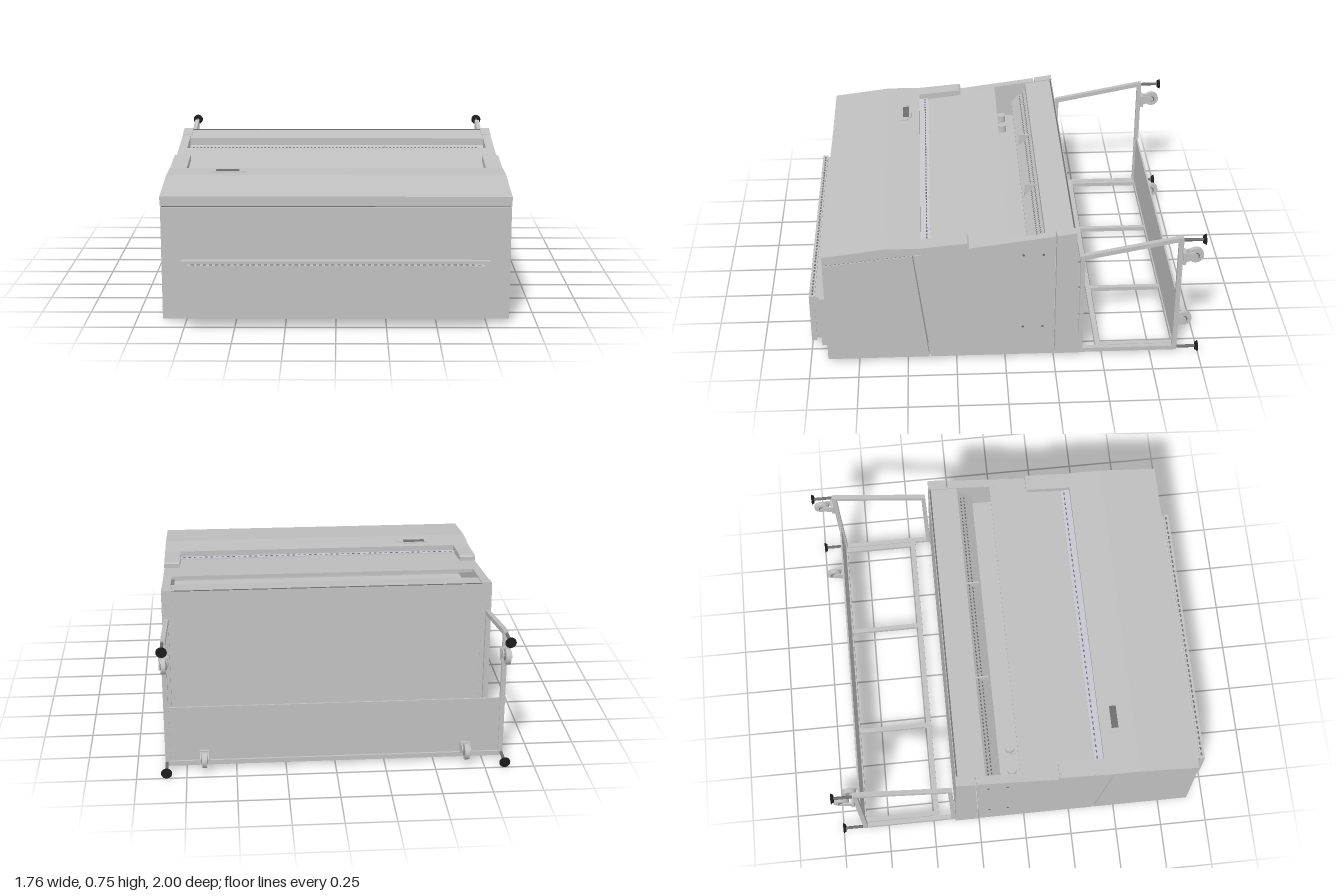
import * as THREE from 'three';

const mat = (name, color, side = THREE.FrontSide) => {
  const m = new THREE.MeshStandardMaterial({ color, side });
  m.name = name;
  return m;
};

export function createModel() {
  const root = new THREE.Group();
  root.name = 'machine';
  const grey = mat('light grey', 0xc0c0c0);
  const strip = mat('pale strip', 0xc8c8d2);
  const dark = mat('dark grey', 0x6e6e6e);
  const black = mat('black', 0x1c1c1c);

  const add = (name, geo, m = grey, parent = root) => {
    const mesh = new THREE.Mesh(geo, m);
    mesh.name = name;
    parent.add(mesh);
    return mesh;
  };
  // box from its limits
  const box = (name, x0, x1, y0, y1, z0, z1, m, parent) => {
    const b = add(name, new THREE.BoxGeometry(x1 - x0, y1 - y0, z1 - z0), m, parent);
    b.position.set((x0 + x1) / 2, (y0 + y1) / 2, (z0 + z1) / 2);
    return b;
  };
  // side profile of [z, y] points extended from x0 to x1
  const toPoints = pts => pts.map(([z, y]) => new THREE.Vector2(-z, y));
  const prism = (name, pts, x0, x1, m, hole, parent) => {
    const s = new THREE.Shape(toPoints(pts));
    if (hole) s.holes.push(new THREE.Path(toPoints(hole)));
    const g = new THREE.ExtrudeGeometry(s, { depth: x1 - x0, bevelEnabled: false });
    g.rotateY(Math.PI / 2).translate(x0, 0, 0);
    return add(name, g, m, parent);
  };
  const mirrored = (name, pts, x0, x1, m, hole) => {
    prism(name, pts, x0, x1, m, hole);
    prism(name, pts, -x1, -x0, m, hole);
  };
  // bar of square section between two points in a side plane
  const bar = (name, x, [z0, y0], [z1, y1], w) => {
    const len = Math.hypot(z1 - z0, y1 - y0);
    const b = add(name, new THREE.BoxGeometry(w, w, len));
    b.position.set(x, (y0 + y1) / 2, (z0 + z1) / 2);
    b.rotation.x = -Math.atan2(y1 - y0, z1 - z0);
  };

  // Front housing and lid
  prism('frontHousing', [[0.91, 0.025], [0.91, 0.596], [0.463, 0.644], [0.39, 0.025]], -0.865, 0.865);
  prism('frontLid', [[0.91, 0.602], [0.91, 0.65], [0.6, 0.69], [0.42, 0.69], [0.42, 0.655], [0.46, 0.65]], -0.867, 0.867);
  prism('lidSeam', [[0.905, 0.59], [0.905, 0.61], [0.46, 0.66], [0.46, 0.64]], -0.86, 0.86, dark);

  // Handle plate on the lid
  const handle = new THREE.Shape([[-0.64, -0.53], [-0.46, -0.53], [-0.46, -0.495], [-0.51, -0.465], [-0.645, -0.465]]
    .map(p => new THREE.Vector2(...p)));
  const handleGeo = new THREE.ExtrudeGeometry(handle, { depth: 0.004, bevelEnabled: false });
  add('lidHandle', handleGeo.rotateX(-Math.PI / 2).translate(0, 0.69, 0), grey);
  box('lidHandleSlot', -0.62, -0.5, 0.694, 0.696, 0.48, 0.515, dark);

  // Front tray
  box('trayBack', -0.765, 0.765, 0.04, 0.33, 0.905, 0.945);
  box('trayMiddle', -0.725, 0.725, 0.06, 0.315, 0.945, 0.972);
  box('trayFront', -0.73, 0.73, 0.05, 0.322, 0.972, 1.0);
  for (let i = 0; i < 48; i++) {
    const x = -0.705 + i * 0.03;
    box('traySlot', x - 0.008, x + 0.008, 0.322, 0.324, 0.98, 0.988, dark);
  }

  // Rear housing sides with a sunken access panel
  const side = [[0.382, 0.025], [0.457, 0.645], [-0.25, 0.74], [-0.25, 0.025]];
  const opening = [[0.39, 0.6], [-0.04, 0.645], [-0.04, 0.2], [0.345, 0.2]];
  mirrored('sideCore', side, 0.82, 0.853);
  mirrored('sideSkin', side, 0.853, 0.865, grey, opening);
  mirrored('rearCorner', [[-0.256, 0.025], [-0.256, 0.742], [-0.355, 0.757], [-0.38, 0.025]], 0.815, 0.867);
  for (const s of [-1, 1]) {
    for (const z of [-0.09, -0.19]) {
      for (const y of [0.2, 0.635]) {
        const bolt = add('sideBolt', new THREE.CylinderGeometry(0.006, 0.006, 0.004, 10), dark);
        bolt.rotation.z = Math.PI / 2;
        bolt.position.set(s * 0.866, y, z);
      }
    }
  }
  box('floorPlate', -0.822, 0.822, 0.022, 0.06, -0.375, 0.4);
  prism('backWall', [[-0.335, 0.03], [-0.335, 0.745], [-0.354, 0.75], [-0.378, 0.03]], -0.82, 0.82);

  // Cross beam above the working bay
  prism('rearBeam', [[-0.2, 0.67], [-0.2, 0.728], [-0.352, 0.75], [-0.352, 0.67]], -0.82, 0.82);
  box('beamSeam', -0.86, 0.86, 0.742, 0.752, -0.35, -0.343, dark);

  // Working bay, perforated rail and dividers
  box('bayFloor', -0.82, 0.82, 0.5, 0.52, -0.34, 0.4);
  prism('perforatedRail', [[-0.2, 0.69], [-0.12, 0.61], [-0.12, 0.6], [-0.2, 0.6]], -0.82, 0.82);
  const holes = new THREE.Group();
  holes.name = 'railHoles';
  root.add(holes);
  for (let i = 0; i < 80; i++) {
    for (let r = 0; r < 2; r++) {
      const hole = add('railHole', new THREE.CircleGeometry(0.006, 6), dark, holes);
      hole.rotation.x = -Math.PI / 4;
      hole.position.set(-0.8 + i * 0.02 + r * 0.01, 0.675 - r * 0.018 + 0.001, -0.185 + r * 0.018 + 0.001);
    }
  }
  for (const x of [-0.27, 0.27]) box('bayDivider', x - 0.004, x + 0.004, 0.58, 0.69, -0.2, -0.13);
  for (const x of [-0.75, -0.63]) {
    const knob = add('bayKnob', new THREE.CylinderGeometry(0.025, 0.025, 0.04, 20));
    knob.position.set(x, 0.54, -0.055);
    box('knobBase', x - 0.03, x + 0.03, 0.52, 0.53, -0.045, -0.025);
  }

  // Sloped top cover, hinge strip and hinge blocks
  prism('topCover', [[0.42, 0.64], [0.42, 0.652], [-0.02, 0.708], [-0.02, 0.69]], -0.82, 0.82);
  prism('hingeStrip', [[0.42, 0.65], [0.42, 0.66], [0.37, 0.665], [0.37, 0.65]], -0.78, 0.78, strip);
  mirrored('hingeBlock', [[0.42, 0.65], [0.42, 0.69], [0.19, 0.712], [0.18, 0.705], [0.18, 0.682]], 0.78, 0.866);
  for (let i = 0; i < 50; i++) {
    const x = -0.76 + i * 0.031;
    box('hingeSlot', x - 0.007, x + 0.007, 0.662, 0.666, 0.385, 0.391, dark);
  }

  // Stand: two side frames
  for (const s of [-1, 1]) {
    const x = s * 0.845;
    bar('standFootBar', x, [-0.375, 0.032], [-0.89, 0.032], 0.024);
    bar('standPost', x, [-0.878, 0.025], [-0.878, 0.705], 0.024);
    bar('standSlope', x, [-0.385, 0.6], [-0.885, 0.698], 0.024);
    bar('standInnerPost', x, [-0.39, 0.025], [-0.39, 0.605], 0.022);
    box('standRung', s > 0 ? 0.805 : -0.83, s > 0 ? 0.83 : -0.805, 0.022, 0.044, -0.88, -0.48);
  }
  // Stand: rails, rungs and back panel
  for (const z of [-0.882, -0.482]) box('standRail', -0.84, 0.84, 0.022, 0.046, z - 0.013, z + 0.013);
  for (const x of [-0.303, 0.303]) box('standRung', x - 0.012, x + 0.012, 0.022, 0.044, -0.88, -0.48);
  box('standPanel', -0.835, 0.835, 0.04, 0.34, -0.884, -0.876);

  // Levelling feet, with stems pointing backwards
  for (const x of [-0.85, 0.85]) {
    for (const y of [0.035, 0.692]) {
      const foot = new THREE.Group();
      foot.name = 'levellingFoot';
      foot.position.set(x, y, -0.89);
      foot.rotation.x = -Math.PI / 2;
      root.add(foot);
      add('footStem', new THREE.CylinderGeometry(0.008, 0.008, 0.1, 10), dark, foot).position.y = 0.05;
      add('footPad', new THREE.CylinderGeometry(0.028, 0.02, 0.014, 20), black, foot).position.y = 0.103;
    }
  }

  // Swivel casters
  for (const [x, y] of [[0.845, 0.6], [-0.845, 0.6], [0.66, 0.08], [-0.66, 0.08]]) {
    const caster = new THREE.Group();
    caster.name = 'caster';
    caster.position.set(x, y, -0.955);
    root.add(caster);
    const wheel = add('casterWheel', new THREE.CylinderGeometry(0.04, 0.04, 0.024, 24), grey, caster);
    wheel.rotation.z = Math.PI / 2;
    const hub = add('casterHub', new THREE.CylinderGeometry(0.018, 0.018, 0.03, 16), dark, caster);
    hub.rotation.z = Math.PI / 2;
    for (const s of [-1, 1]) {
      const o = s * 0.019;
      prism('casterFork', [[0.055, -0.035], [0.055, 0.02], [0.01, 0.022], [-0.01, 0.008], [-0.01, -0.008]], o - 0.003, o + 0.003, grey, null, caster);
    }
    box('casterPlate', -0.025, 0.025, -0.045, 0.025, 0.05, 0.066, grey, caster);
  }
  return root;
}
